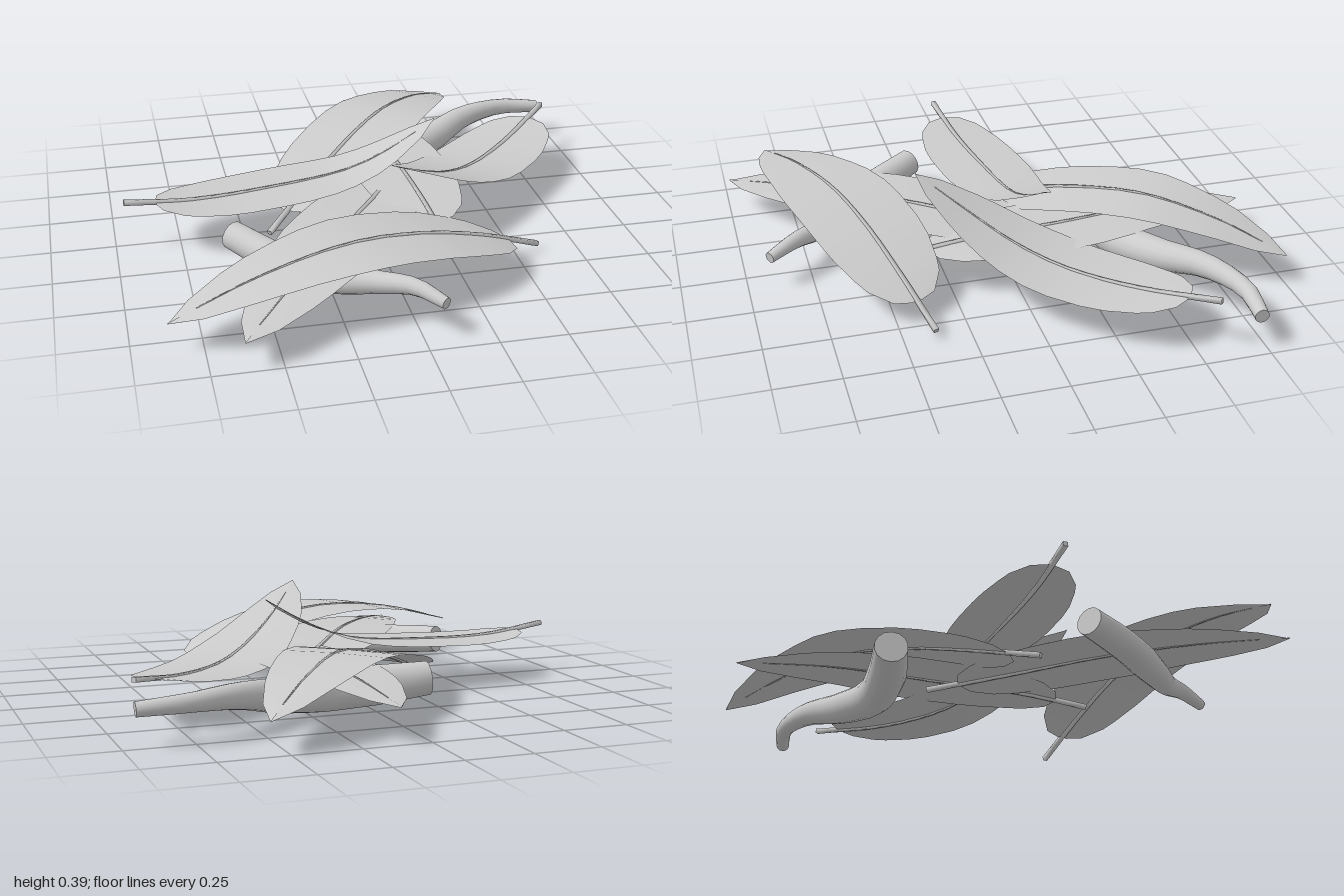
import * as THREE from 'three';

const material = new THREE.MeshStandardMaterial({ color: 0xcccccc });
const thinMaterial = new THREE.MeshStandardMaterial({ color: 0xcccccc, side: THREE.DoubleSide });

const curveOf = (points) =>
  new THREE.CatmullRomCurve3(points.map((p) => new THREE.Vector3(...p)), false, 'centripetal');

// Blade outline: [fraction along the leaf from stem end to tip, relative half width]
const OUTLINE = [
  [0.095, 0.1], [0.108, 0.4], [0.16, 0.7], [0.2, 0.8], [0.28, 0.93], [0.35, 0.98], [0.45, 1],
  [0.53, 0.99], [0.61, 0.93], [0.68, 0.84], [0.76, 0.73], [0.83, 0.6], [0.93, 0.34], [1, 0],
];

// Horizontal direction across a curve at u
function across(curve, u) {
  const t = curve.getTangentAt(u);
  return new THREE.Vector3(t.z, 0, -t.x).normalize();
}

// Round or square tube whose radius varies along the curve, with closed ends
function taperedTube(curve, radiusAt, steps, sides, uEnd = 1) {
  const pos = [], idx = [];
  for (let i = 0; i <= steps; i++) {
    const u = (i / steps) * uEnd;
    const c = curve.getPointAt(u), side = across(curve, u);
    const up = new THREE.Vector3().crossVectors(curve.getTangentAt(u), side);
    for (let j = 0; j < sides; j++) {
      const a = ((j + 0.5) / sides) * Math.PI * 2, r = radiusAt(i / steps);
      const p = c.clone().addScaledVector(side, Math.cos(a) * r).addScaledVector(up, Math.sin(a) * r);
      pos.push(p.x, p.y, p.z);
      if (i < steps) {
        const a0 = i * sides + j, b0 = i * sides + ((j + 1) % sides);
        idx.push(a0, b0, a0 + sides, b0, b0 + sides, a0 + sides);
      }
    }
  }
  // End caps have their own vertices so the rims stay sharp
  for (const [ring, flip] of [[0, true], [steps, false]]) {
    const start = pos.length / 3;
    pos.push(...pos.slice(ring * sides * 3, (ring + 1) * sides * 3));
    for (let j = 1; j < sides - 1; j++) {
      idx.push(start, start + (flip ? j + 1 : j), start + (flip ? j : j + 1));
    }
  }
  return finish(pos, idx);
}

function finish(pos, idx) {
  const g = new THREE.BufferGeometry();
  g.setAttribute('position', new THREE.Float32BufferAttribute(pos, 3));
  g.setIndex(idx);
  g.computeVertexNormals();
  return g;
}

// Thin blade: two halves either side of the midrib
function bladeGeometry(curve, halfWidth) {
  const pos = [], idx = [];
  OUTLINE.forEach(([u, w], i) => {
    const c = curve.getPointAt(u), side = across(curve, u);
    for (const k of [-1, 0, 1]) {
      const p = c.clone().addScaledVector(side, k * w * halfWidth);
      pos.push(p.x, p.y - Math.abs(k) * 0.004, p.z);
    }
    if (i < OUTLINE.length - 1) {
      for (const k of [0, 1]) {
        const a = i * 3 + k;
        idx.push(a, a + 1, a + 3, a + 1, a + 4, a + 3);
      }
    }
  });
  return finish(pos, idx);
}

function makeLeaf(name, halfWidth, points) {
  const leaf = new THREE.Group();
  leaf.name = name;
  const curve = curveOf(points);
  const blade = new THREE.Mesh(bladeGeometry(curve, halfWidth), thinMaterial);
  blade.name = 'blade';
  // Stem runs on as a midrib and fades out before the tip
  const rib = new THREE.Mesh(taperedTube(curve, (t) => 0.013 - 0.011 * t, 16, 4, 0.93), material);
  rib.name = 'stemAndMidrib';
  leaf.add(blade, rib);
  return leaf;
}

function makeTwig(name, points, radii) {
  const radiusAt = (t) => {
    const f = t * (radii.length - 1), i = Math.min(Math.floor(f), radii.length - 2);
    return THREE.MathUtils.lerp(radii[i], radii[i + 1], f - i);
  };
  const twig = new THREE.Mesh(taperedTube(curveOf(points), radiusAt, 18, 14), material);
  twig.name = name;
  return twig;
}

export function createModel() {
  const model = new THREE.Group();
  model.name = 'leafPile';

  // Leaves, each a centre line from stem end to tip
  model.add(
    makeLeaf('backLeaf', 0.215,
      [[-0.41, 0.04, 0.09], [-0.15, 0.155, -0.2], [0.02, 0.215, -0.39], [0.19, 0.245, -0.57], [0.4, 0.2, -0.81], [0.57, 0.12, -1]]),
    makeLeaf('lowerBackLeaf', 0.2,
      [[0.2, 0.12, 0.45], [0.19, 0.15, 0.2], [0.17, 0.16, -0.2], [0.13, 0.16, -0.6], [0.11, 0.13, -0.99]]),
    makeLeaf('lowerFrontLeaf', 0.21,
      [[0.2, 0.13, -0.22], [0, 0.15, 0.1], [-0.2, 0.165, 0.4], [-0.41, 0.15, 0.69], [-0.63, 0.11, 0.99]]),
    makeLeaf('rightLeaf', 0.18,
      [[-0.96, 0.2, 0.03], [-0.7, 0.17, 0], [-0.4, 0.175, -0.035], [-0.05, 0.21, -0.075], [0.15, 0.29, -0.095], [0.3, 0.38, -0.11]]),
    makeLeaf('leftLeaf', 0.2,
      [[0.92, 0.2, -0.58], [0.68, 0.155, -0.33], [0.48, 0.155, -0.13], [0.33, 0.2, 0.02], [0.18, 0.285, 0.17], [0.04, 0.39, 0.33]]),
    makeLeaf('frontLeaf', 0.215,
      [[0.59, 0.03, 0.38], [0.33, 0.135, 0.46], [0.08, 0.205, 0.53], [-0.2, 0.235, 0.61], [-0.53, 0.2, 0.71], [-0.87, 0.11, 0.81]]),
  );

  // Twigs, thick end first
  model.add(
    makeTwig('frontTwig',
      [[-0.57, 0.12, 0.23], [-0.43, 0.1, 0.42], [-0.27, 0.088, 0.58], [-0.1, 0.115, 0.7], [0, 0.14, 0.8], [0.08, 0.125, 0.91]],
      [0.055, 0.06, 0.06, 0.048, 0.035, 0.022]),
    makeTwig('backTwig',
      [[-0.23, 0.1, -0.44], [0, 0.082, -0.42], [0.2, 0.077, -0.44], [0.4, 0.1, -0.54], [0.58, 0.135, -0.66], [0.78, 0.14, -0.735], [0.95, 0.13, -0.725]],
      [0.065, 0.077, 0.076, 0.066, 0.05, 0.036, 0.027]),
  );
  return model;
}
